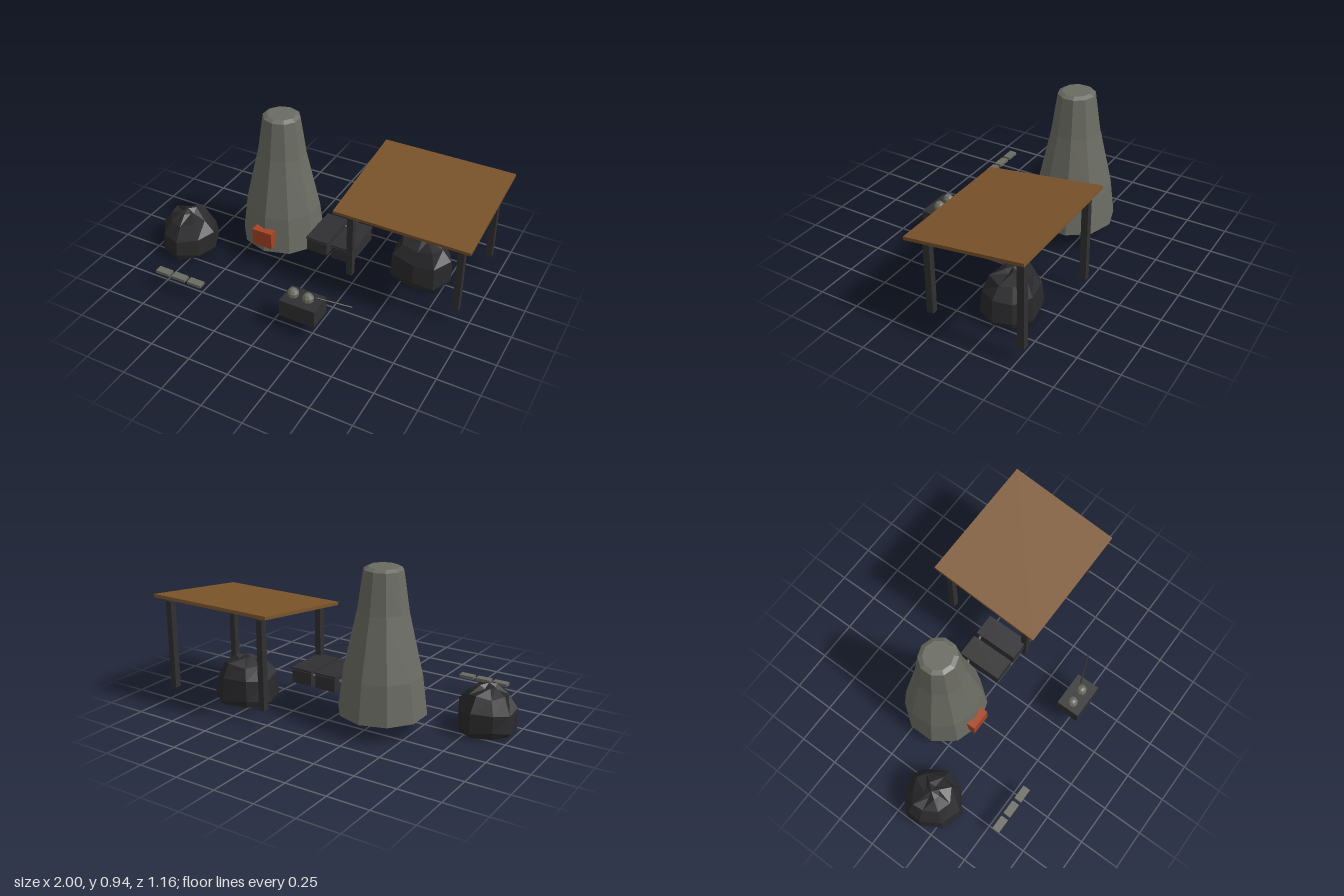
import * as THREE from 'three';

const mat = (name, color) => {
  const m = new THREE.MeshStandardMaterial({ color });
  m.name = name;
  m.flatShading = true;
  return m;
};

export function createModel() {
  const root = new THREE.Group();
  root.name = 'smeltingYard';
  const clay = mat('greyClay', 0x6a6b62);
  const iron = mat('darkIron', 0x303032);
  const coal = mat('charcoal', 0x29292b);
  const wood = mat('brownWood', 0x7a532a);
  const ember = mat('emberRed', 0xa64424);

  const add = (name, geo, material, x = 0, y = 0, z = 0) => {
    const m = new THREE.Mesh(geo, material);
    m.name = name;
    m.position.set(x, y, z);
    root.add(m);
    return m;
  };
  const box = (name, material, w, h, d, x, y, z) =>
    add(name, new THREE.BoxGeometry(w, h, d), material, x, y, z);
  // Thin cylinder between two points
  const rod = (name, material, a, b, r) => {
    const p = new THREE.Vector3(...a), q = new THREE.Vector3(...b);
    const dir = q.clone().sub(p);
    const m = add(name, new THREE.CylinderGeometry(r, r, dir.length(), 6), material);
    m.position.copy(p).add(q).multiplyScalar(0.5);
    m.quaternion.setFromUnitVectors(new THREE.Vector3(0, 1, 0), dir.normalize());
  };

  // Ten-sided tapering furnace
  const profile = [[0, 0.11], [0.26, 0.11], [0.231, 0.34], [0.149, 0.7], [0.114, 0.935], [0.088, 0.95], [0, 0.95]];
  const furnace = add('furnace',
    new THREE.LatheGeometry(profile.map(([r, y]) => new THREE.Vector2(r, y)), 10), clay, -0.31, 0, -0.157);
  furnace.scale.z = 0.97;
  box('furnaceDoor', ember, 0.13, 0.108, 0.08, -0.31, 0.212, 0.072);

  // Sloping shelter roof on four posts
  const roof = box('roof', wood, 0.82, 0.02, 0.716, 0.588, 0.634, -0.225);
  roof.rotation.x = 0.131;
  for (const x of [0.252, 0.922]) {
    box('frontPost', iron, 0.038, 0.465, 0.04, x, 0.3425, 0.035);
    box('backPost', iron, 0.038, 0.54, 0.04, x, 0.38, -0.525);
  }

  // Pair of bellows with lids, and their air pipes
  for (const x of [0.027, 0.192]) {
    box('bellowsBody', iron, 0.134, 0.078, 0.275, x, 0.222, -0.1);
    box('bellowsNeck', iron, 0.12, 0.008, 0.26, x, 0.264, -0.1);
    box('bellowsLid', iron, 0.14, 0.01, 0.28, x, 0.272, -0.1);
  }
  rod('longPipe', clay, [-0.1, 0.23, -0.168], [0.14, 0.25, -0.217], 0.007);
  rod('shortPipe', clay, [-0.1, 0.225, -0.165], [0, 0.245, -0.195], 0.008);

  // Work block with two lumps of bloom and a leaning rod
  box('workBlock', iron, 0.222, 0.11, 0.148, 0.178, 0.165, 0.484);
  for (const x of [0.118, 0.212])
    add('bloomLump', new THREE.SphereGeometry(0.035, 8, 5), clay, x, 0.235, 0.483);
  rod('pokerRod', iron, [0.25, 0.231, 0.454], [0.437, 0.186, 0.384], 0.005);

  // Row of ingots
  for (let i = 0; i < 3; i++)
    box('ingot', clay, 0.092, 0.019, 0.047, -0.72 + i * 0.111, 0.12, 0.557);

  // Faceted heap: one ground outline shrunk through rings towards an apex
  const heap = (name, outline, rings, apex, low) => {
    const n = outline.length, pos = [];
    const [ax, ay, az] = apex;
    const point = (k, i) => {
      const [x, z] = outline[(i + n) % n];
      const [s, y] = rings[k];
      const wobble = 0.012 * Math.sin(((i + n) % n) * 2.4 + k * 1.7);
      const t = s + (k > 1 ? wobble * 3 : 0);
      return [ax + (x - ax) * t, y + (k ? wobble : Math.abs(wobble)), az + (z - az) * t];
    };
    for (let i = 0; i < n; i++) {
      for (let k = 0; k < rings.length - 1; k++) {
        const a = point(k, i), b = point(k, i + 1), c = point(k + 1, i + 1), d = point(k + 1, i);
        pos.push(...a, ...b, ...c, ...a, ...c, ...d);
      }
      const top = rings.length - 1;
      pos.push(...point(top, i), ...point(top, i + 1), ax, ay, az);
      pos.push(...point(0, i + 1), ...point(0, i), ax, low, az);
    }
    const g = new THREE.BufferGeometry();
    g.setAttribute('position', new THREE.Float32BufferAttribute(pos, 3));
    g.computeVertexNormals();
    add(name, g, coal);
  };
  // Outlines run from the front towards +x, then round the back
  heap('leftCharcoalHeap',
    [[-0.8, 0.333], [-0.69, 0.245], [-0.645, 0.135], [-0.71, -0.01], [-0.8, -0.045],
      [-0.925, -0.01], [-1, 0.07], [-0.995, 0.17], [-0.93, 0.29]],
    [[0.9, 0.005], [1, 0.045], [0.95, 0.15], [0.66, 0.235], [0.25, 0.268]], [-0.825, 0.287, 0.14], 0.005);
  heap('rightCharcoalHeap',
    [[0.59, -0.11], [0.72, -0.13], [0.783, -0.25], [0.75, -0.36], [0.64, -0.428],
      [0.48, -0.4], [0.385, -0.29], [0.43, -0.15]],
    [[0.95, 0.015], [1, 0.05], [0.92, 0.18], [0.66, 0.258], [0.25, 0.292]], [0.59, 0.305, -0.27], 0.015);

  return root;
}
